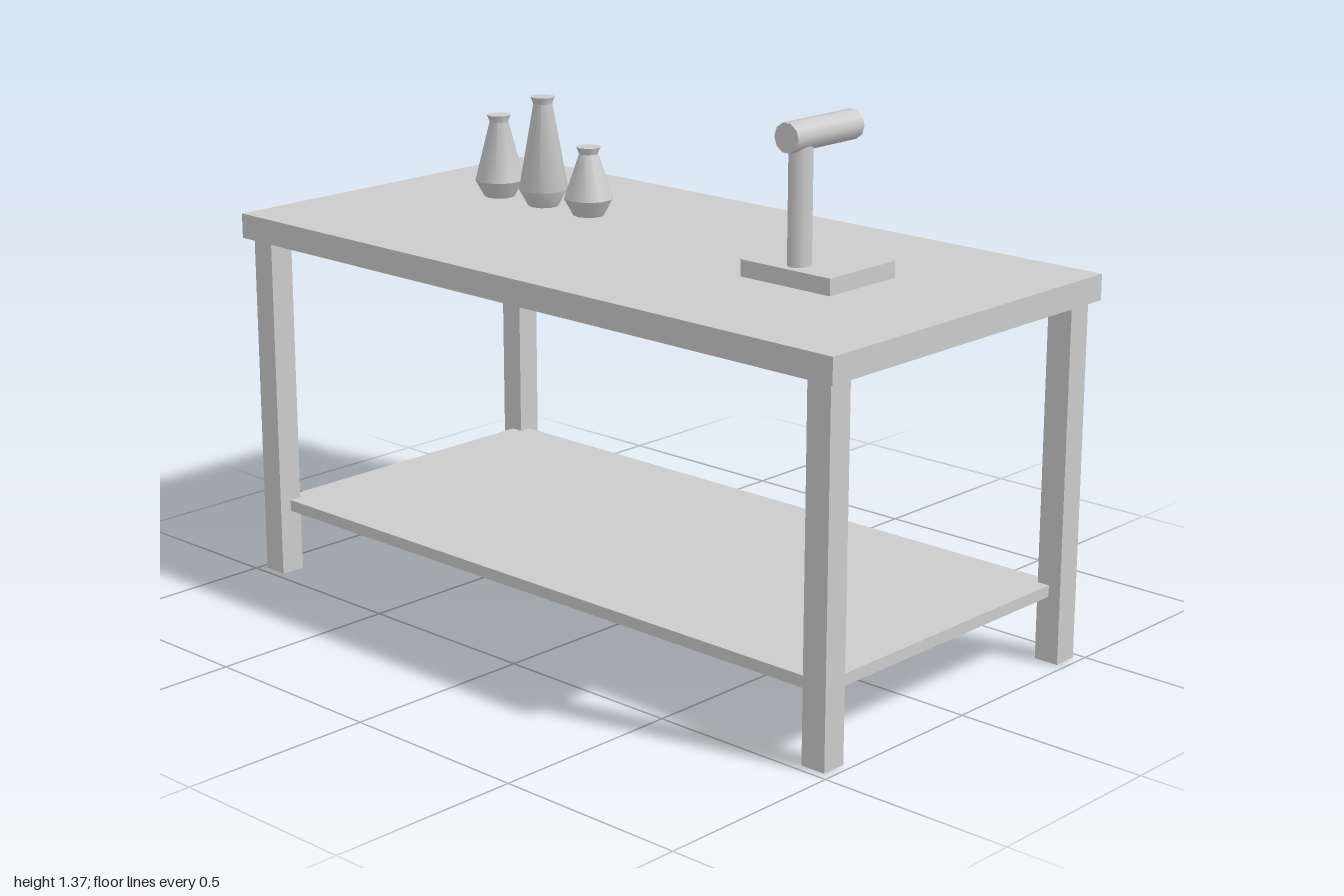
import * as THREE from 'three';
import { toCreasedNormals } from 'three/addons/utils/BufferGeometryUtils.js';

const material = new THREE.MeshStandardMaterial({ color: 0xcccccc });
const CREASE = 0.65; // smooth around the sides, sharp at rims
const TOP = 0.98; // height of the table surface

function addMesh(parent, name, geometry, x, y, z) {
  const mesh = new THREE.Mesh(geometry, material);
  mesh.name = name;
  mesh.position.set(x, y, z);
  parent.add(mesh);
  return mesh;
}

// Box given by its size, with y as the underside
function addBox(parent, name, w, h, d, x, y, z) {
  return addMesh(parent, name, new THREE.BoxGeometry(w, h, d), x, y + h / 2, z);
}

function createTable() {
  const table = new THREE.Group();
  table.name = 'table';
  addBox(table, 'tableTop', 1, 0.065, 2, 0, TOP - 0.065, 0);
  addBox(table, 'lowerShelf', 0.89, 0.03, 1.89, 0, 0.17, 0);
  for (const sx of [-1, 1]) {
    for (const sz of [-1, 1]) {
      addBox(table, 'leg', 0.067, TOP - 0.065, 0.067, sx * 0.445, 0, sz * 0.945);
    }
  }
  return table;
}

function createLamp() {
  const lamp = new THREE.Group();
  lamp.name = 'lamp';
  const z = 0.527;
  addBox(lamp, 'lampBase', 0.24, 0.042, 0.276, 0.01, TOP, z);

  // Slightly oval post
  const post = new THREE.CylinderGeometry(0.0335, 0.0335, 0.3, 12);
  post.scale(1, 1, 0.83);
  addMesh(lamp, 'lampPost', post, -0.057, 1.17, z);

  // Horizontal lamp head
  const head = new THREE.CylinderGeometry(0.037, 0.037, 0.24, 10);
  head.rotateZ(Math.PI / 2);
  addMesh(lamp, 'lampHead', head, 0.01, 1.333, z);
  return lamp;
}

// Closed bottle: narrow foot, low belly, thin neck, flared rim
function createBottleGeometry(height) {
  const profile = [
    [0, 0], [0.041, 0], [0.0655, 0.045], [0.025, height - 0.018], [0.032, height], [0, height],
  ].map(([r, y]) => new THREE.Vector2(r, y));
  return toCreasedNormals(new THREE.LatheGeometry(profile, 10, Math.PI / 2), CREASE);
}

export function createModel() {
  const model = new THREE.Group();
  model.name = 'workTable';
  model.add(createTable(), createLamp());

  const bottles = new THREE.Group();
  bottles.name = 'bottles';
  for (const [height, z] of [[0.18, -0.333], [0.29, -0.5], [0.22, -0.667]]) {
    addMesh(bottles, 'bottle', createBottleGeometry(height), 0.11, TOP, z);
  }
  model.add(bottles);
  return model;
}
